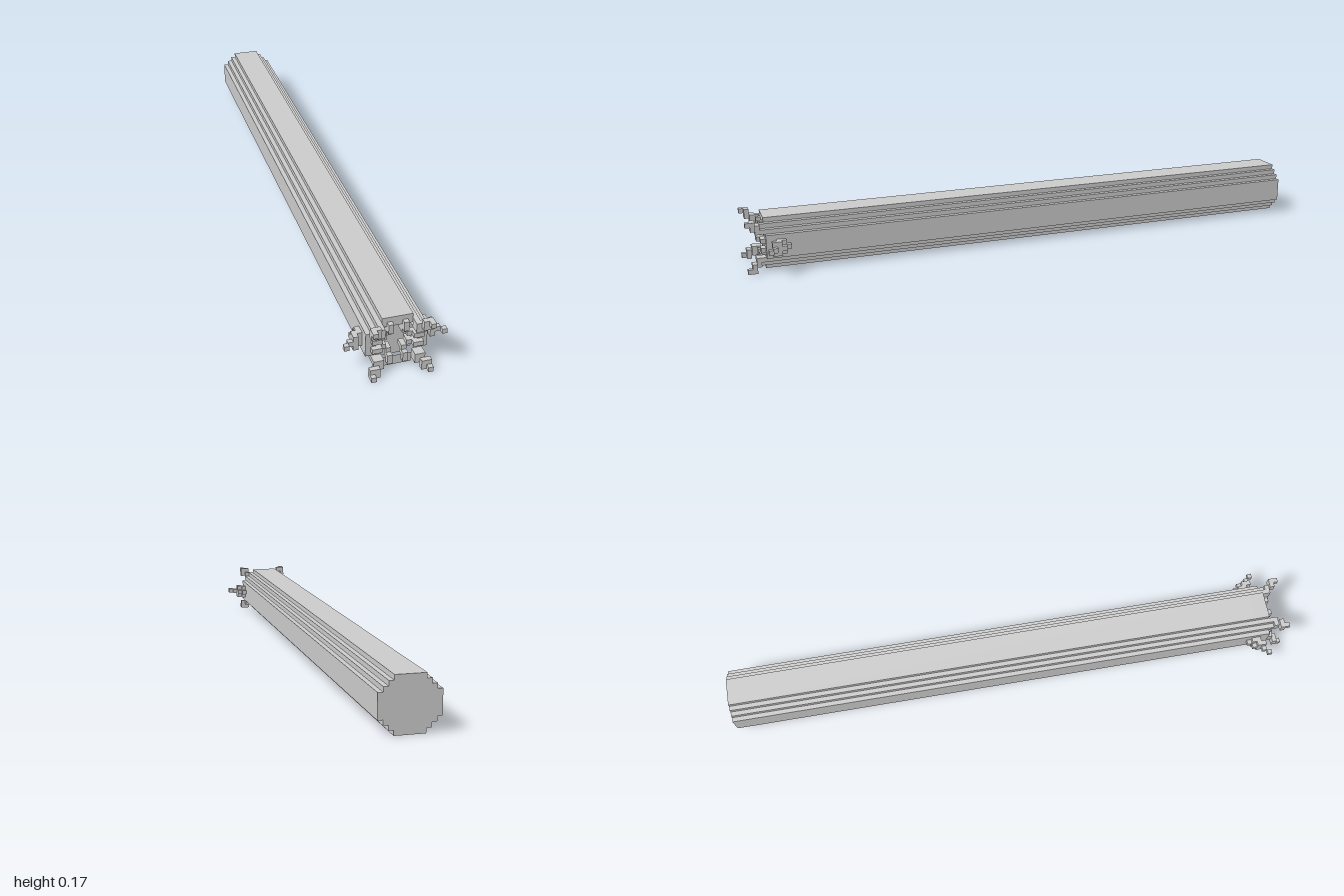
import * as THREE from 'three';

const V = 2 / 126; // one block unit
const FRONT = 59;  // front face of the body, in block units

export function createModel() {
  const root = new THREE.Group();
  root.name = 'blockyTube';
  const mat = new THREE.MeshStandardMaterial({ color: 0xcccccc, flatShading: true });
  const model = new THREE.Group();
  model.name = 'tube';
  model.scale.setScalar(V);
  model.position.y = 5.5 * V;
  root.add(model);

  // Mirror a quarter of a stepped outline into a closed loop
  const outline = (q) => {
    const r = [...q].reverse();
    return [
      ...q, ...r.map(([x, y]) => [x, -y]),
      ...q.map(([x, y]) => [-x, -y]), ...r.map(([x, y]) => [-x, y]),
    ].map(([x, y]) => new THREE.Vector2(x, y));
  };
  const bodyLoop = outline([[3, 5.5], [3, 4.5], [4, 4.5], [4, 3.5], [5, 3.5], [5, 2.5], [6, 2.5]]);
  const mouthLoop = outline([[3, 3.5], [3, 2.5], [4, 2.5]]);

  const extrude = (name, shape, z0, z1) => {
    const geo = new THREE.ExtrudeGeometry(shape, { depth: z1 - z0, bevelEnabled: false });
    geo.translate(0, 0, z0);
    const mesh = new THREE.Mesh(geo, mat);
    mesh.name = name;
    model.add(mesh);
  };

  // Long stepped body, with a hollow mouth at the front
  extrude('body', new THREE.Shape(bodyLoop), -63, FRONT - 3);
  const rim = new THREE.Shape(bodyLoop);
  rim.holes.push(new THREE.Path(mouthLoop));
  extrude('mouthRim', rim, FRONT - 3, FRONT);

  // Blocks: [x0, x1, y0, y1, z0, z1], z measured from the front face
  const blocks = (name, list, sx, sy) => {
    const group = new THREE.Group();
    group.name = name;
    for (const [x0, x1, y0, y1, z0, z1] of list) {
      const mesh = new THREE.Mesh(new THREE.BoxGeometry(x1 - x0, y1 - y0, z1 - z0), mat);
      mesh.name = 'block';
      mesh.position.set(sx * (x0 + x1) / 2, sy * (y0 + y1) / 2, FRONT + (z0 + z1) / 2);
      group.add(mesh);
    }
    model.add(group);
  };

  // Stepped claw reaching out of each corner
  const claw = [
    [3, 4, 2.5, 3.5, 0, 2],
    [4, 5, 2.5, 3.5, 0, 1],
    [3, 4, 3.5, 4.5, 0, 1],
    [4, 5, 3.5, 4.5, 1, 3],
    [4, 5, 2.5, 3.5, 1, 2],
    [3, 4, 3.5, 4.5, 1, 2],
    [5, 6, 3.5, 4.5, 2, 3],
    [4, 5, 4.5, 5.5, 2, 3],
    [5, 6, 4.5, 5.5, 2, 4],
  ];
  // Teeth stepping back into the mouth from above, below and the sides
  const upright = [
    [1, 2, 3.5, 4.5, 0, 1],
    [1, 2, 2.5, 3.5, -1, 1],
    [1, 2, 1.5, 2.5, -2, 0],
  ];
  const sideways = [
    [4, 5, 0.5, 1.5, 0, 1],
    [3, 4, 0.5, 1.5, -1, 1],
    [2, 3, 0.5, 1.5, -2, 0],
  ];
  // Pronged horn on each flank
  const horn = [
    [6, 7, -0.5, 0.5, -5, -2],
    [6, 7, -1.5, 1.5, -4, -2],
    [7, 8, -0.5, 0.5, -4, -1],
    [7, 8, -1.5, 1.5, -3, -1],
    [8, 9, -0.5, 0.5, -2, -1],
    [9, 10, -0.5, 0.5, -1, 0],
  ];
  for (const sx of [1, -1]) {
    const side = sx > 0 ? 'left' : 'right';
    for (const sy of [1, -1]) {
      const level = sy > 0 ? 'Upper' : 'Lower';
      blocks(side + level + 'Claw', claw, sx, sy);
      blocks(side + level + 'Tooth', upright, sx, sy);
      blocks(side + level + 'SideTooth', sideways, sx, sy);
    }
    blocks(side + 'Horn', horn, sx, 1);
  }
  return root;
}
